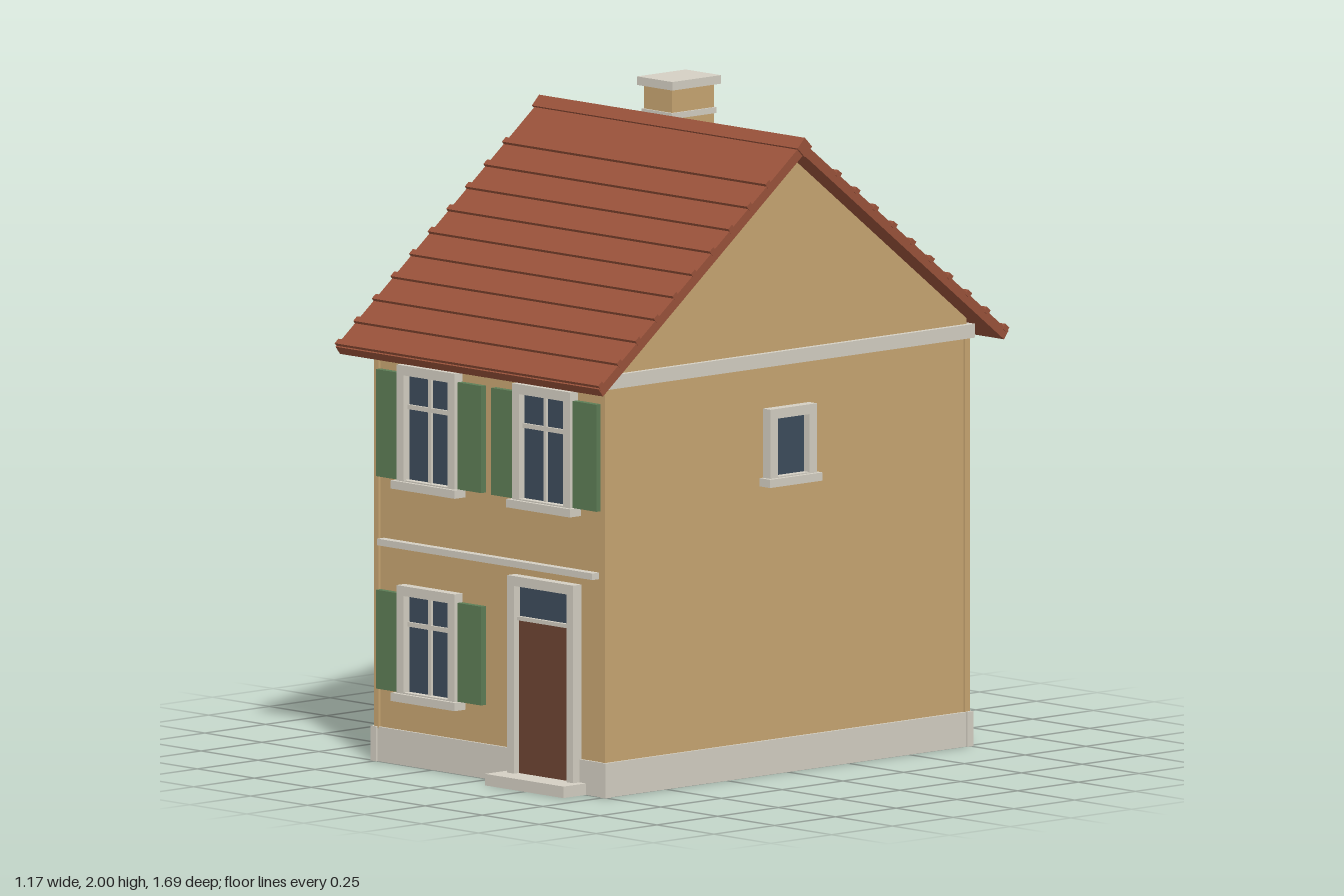
import * as THREE from 'three';

const material = (name, color) => new THREE.MeshStandardMaterial({ name, color });

export function createModel() {
  const wall = material('ochre plaster', 0xc8a672);
  const stone = material('pale stone', 0xd4cfc3);
  const tile = material('roof tile', 0x99523a);
  const green = material('shutter green', 0x5d7d56);
  const wood = material('door brown', 0x6d4433);
  const glass = material('window glass', 0x3d4c5c);

  const house = new THREE.Group();
  house.name = 'house';

  // Box from its centre in x and z, bottom in y
  function box(parent, name, mat, [w, h, d], [x, y, z]) {
    const mesh = new THREE.Mesh(new THREE.BoxGeometry(w, h, d), mat);
    mesh.name = name;
    mesh.position.set(x, y + h / 2, z);
    parent.add(mesh);
    return mesh;
  }

  function group(name, x, y, z, turn) {
    const g = new THREE.Group();
    g.name = name;
    g.position.set(x, y, z);
    g.rotation.y = turn;
    house.add(g);
    return g;
  }

  // Surround: rectangle with an opening, standing out from the wall
  function surround(parent, w, h, t, bottom) {
    const s = new THREE.Shape([[-w / 2, 0], [w / 2, 0], [w / 2, h], [-w / 2, h]].map(p => new THREE.Vector2(...p)));
    const a = w / 2 - t;
    s.holes.push(new THREE.Path([[-a, bottom], [-a, h - t], [a, h - t], [a, bottom]].map(p => new THREE.Vector2(...p))));
    const mesh = new THREE.Mesh(new THREE.ExtrudeGeometry(s, { depth: 0.034, bevelEnabled: false }), stone);
    mesh.name = 'surround';
    parent.add(mesh);
  }

  // Window standing on its sill; bars and shutters are optional
  function addWindow(name, [x, y, z], turn, w, h, { bars = true, shutters = false } = {}) {
    const g = group(name, x, y, z, turn);
    const t = 0.03;
    surround(g, w, h, t, 0.004);
    box(g, 'pane', glass, [w - 2 * t, h - t, 0.008], [0, 0, 0.006]);
    box(g, 'sill', stone, [w + 0.026, 0.025, 0.046], [0, -0.025, 0.023]);
    if (bars) {
      box(g, 'mullion', stone, [0.013, h - t, 0.012], [0, 0, 0.012]);
      box(g, 'crossBar', stone, [w - 2 * t, 0.014, 0.012], [0, h * 0.62, 0.012]);
    }
    if (shutters) {
      for (const s of [-1, 1]) {
        box(g, 'shutter', green, [0.104, h - 0.027, 0.02], [s * (w / 2 + 0.052), 0, 0.012]);
      }
    }
  }

  // Door with surround, step and optional fanlight
  function addDoor(name, [x, y, z], turn, w, h, fanlight) {
    const g = group(name, x, y, z, turn);
    const t = 0.03, inner = w - 2 * t;
    const leaf = fanlight ? h - 0.135 : h - t;
    surround(g, w, h, t, 0.01);
    box(g, 'doorLeaf', wood, [inner, leaf, 0.012], [0, 0, 0.008]);
    if (fanlight) {
      box(g, 'transom', stone, [inner, 0.012, 0.02], [0, leaf, 0.012]);
      box(g, 'fanlight', glass, [inner, h - t - leaf - 0.012, 0.008], [0, leaf + 0.012, 0.006]);
    }
    box(g, 'step', stone, [w + 0.055, 0.035, 0.1], [0, 0, 0.05]);
  }

  const X = 0.5, Z = 0.743, APEX = 1.882, PITCH = 0.665;
  const EAVE = APEX - Z * Math.tan(PITCH);

  // Walls with both gables
  const outline = new THREE.Shape([[-Z, 0.05], [Z, 0.05], [Z, EAVE], [0, APEX], [-Z, EAVE]].map(p => new THREE.Vector2(...p)));
  const wallGeometry = new THREE.ExtrudeGeometry(outline, { depth: 2 * X, bevelEnabled: false });
  wallGeometry.translate(0, 0, -X).rotateY(Math.PI / 2);
  const walls = new THREE.Mesh(wallGeometry, wall);
  walls.name = 'walls';
  house.add(walls);

  // Plinth, corner strips and string courses
  box(house, 'plinth', stone, [1.018, 0.105, 1.502], [0, 0, 0]);
  for (const sx of [-1, 1]) {
    for (const sz of [-1, 1]) {
      box(house, 'cornerStrip', wall, [0.02, 1.15, 0.02], [sx * 0.496, 0.1, sz * 0.741]);
      box(house, 'cornerBase', stone, [0.024, 0.106, 0.024], [sx * 0.503, 0, sz * 0.745]);
    }
  }
  box(house, 'floorBand', stone, [0.944, 0.02, 0.03], [0, 0.66, Z + 0.013]);
  for (const s of [-1, 1]) {
    box(house, 'gableBand', stone, [0.03, 0.042, 1.526], [s * 0.502, 1.24, 0]);
    box(house, 'eavesBand', stone, [1.03, 0.042, 0.03], [0, 1.24, s * 0.748]);
  }

  // Front openings
  for (const s of [-1, 1]) {
    addWindow('frontUpperWindow', [s * 0.253, 0.868, Z], 0, 0.254, 0.352, { shutters: true });
  }
  addWindow('frontLowerWindow', [-0.253, 0.223, Z], 0, 0.254, 0.327, { shutters: true });
  addDoor('frontDoor', [0.25, 0, Z], 0, 0.29, 0.635, true);

  // Back openings
  for (const s of [-1, 1]) {
    addWindow('backUpperWindow', [s * 0.25, 0.868, -Z], Math.PI, 0.22, 0.31);
  }
  addWindow('backLowerWindow', [-0.25, 0.223, -Z], Math.PI, 0.22, 0.302);
  addDoor('backDoor', [0.25, 0, -Z], Math.PI, 0.28, 0.522, false);

  // Small gable windows
  for (const s of [-1, 1]) {
    addWindow('gableWindow', [s * X, 0.903, 0], s * Math.PI / 2, 0.19, 0.21, { bars: false });
  }

  // Roof: two pitched slabs, each with raised tile courses
  const length = 0.825 / Math.cos(PITCH), thick = 0.03;
  for (const s of [0, 1]) {
    const side = group(s ? 'backRoof' : 'frontRoof', 0, APEX, 0, s * Math.PI);
    const slope = new THREE.Group();
    slope.name = 'slope';
    slope.rotation.x = PITCH;
    side.add(slope);
    box(slope, 'roofSlab', tile, [1.154, thick, length], [0, 0, length / 2]);
    for (let i = 0; i < 10; i++) {
      const along = (0.125 + i * 0.0765) / Math.cos(PITCH);
      box(slope, 'tileCourse', tile, [1.156, 0.018, 0.02], [0, thick - 0.008, along]);
    }
  }
  const ridge = box(house, 'ridgeCap', tile, [1.166, 0.042, 0.042], [0, 1.884, 0]);
  ridge.rotation.x = Math.PI / 4;

  // Chimney
  const cx = -0.258, cz = -0.271;
  box(house, 'chimneyStack', wall, [0.122, 0.43, 0.172], [cx, 1.55, cz]);
  box(house, 'chimneyBand', stone, [0.134, 0.018, 0.184], [cx, 1.885, cz]);
  box(house, 'chimneyCap', stone, [0.154, 0.026, 0.2], [cx, 1.974, cz]);

  return house;
}
